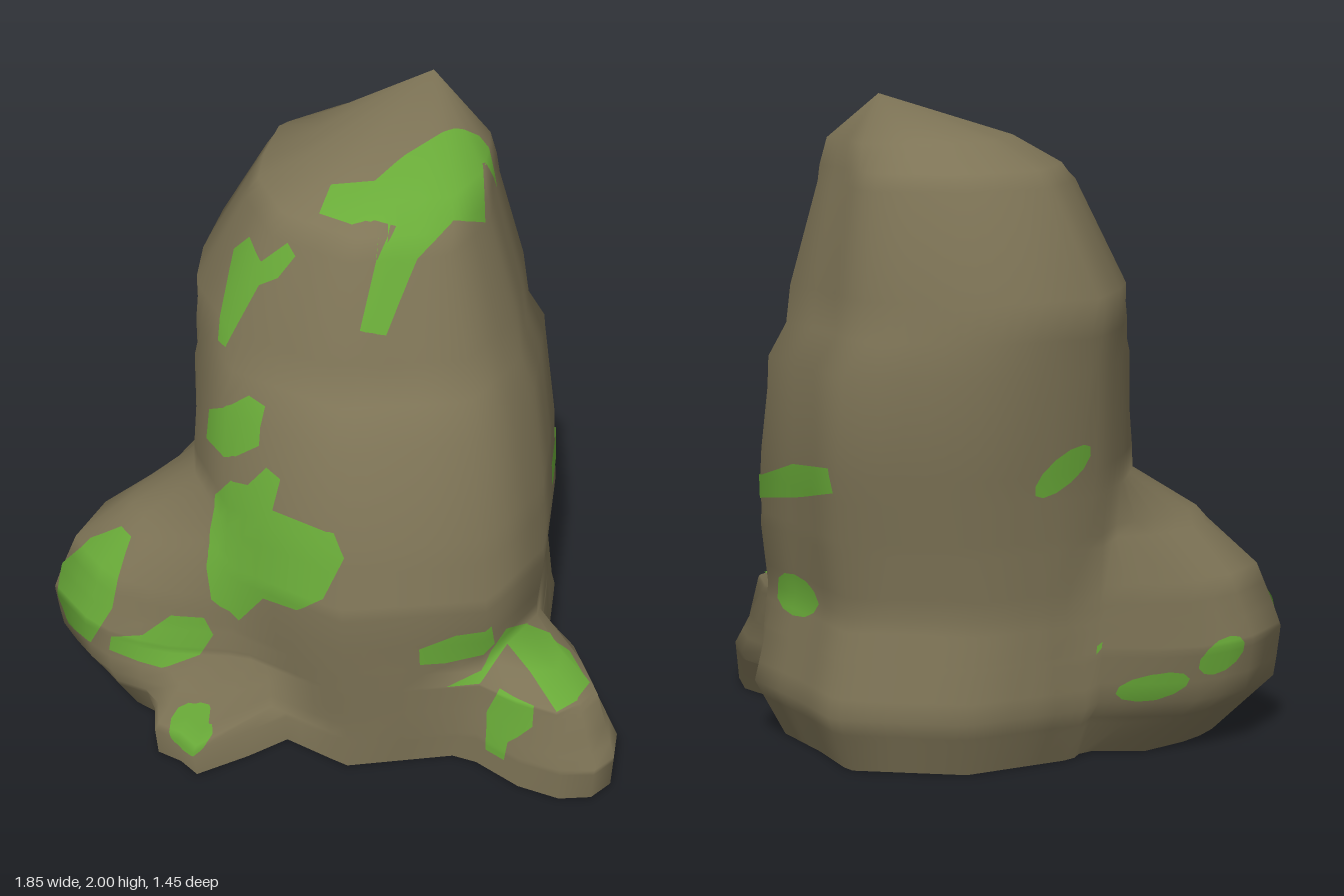
import * as THREE from 'three';

const stone = new THREE.MeshStandardMaterial({ color: 0x7f7557, side: THREE.DoubleSide });
stone.name = 'stone';
const moss = new THREE.MeshStandardMaterial({ color: 0x6aac39, side: THREE.DoubleSide });
moss.name = 'moss';

// Each lobe: a unit outline from above [x, z], stretched to rings [y, xMin, xMax, zMin, zMax]
const boulder = {
  plan: [[0.2, 1], [0.87, 0.66], [1, 0.17], [0.83, -0.5], [0.42, -0.75], [0.08, -1],
    [-0.58, -0.8], [-1, -0.28], [-0.95, 0.15], [-0.85, 0.5], [-0.47, 0.88]],
  rings: [[0, -0.5, 0.52, -0.61, 0.5], [0.17, -0.56, 0.6, -0.68, 0.51], [0.47, -0.58, 0.58, -0.62, 0.55],
    [0.66, -0.59, 0.6, -0.65, 0.57], [0.9, -0.59, 0.57, -0.69, 0.53], [1.2, -0.6, 0.51, -0.73, 0.46],
    [1.3, -0.61, 0.46, -0.66, 0.37], [1.42, -0.62, 0.43, -0.68, 0.33], [1.73, -0.45, 0.33, -0.61, 0.24],
    [1.78, -0.42, 0.315, -0.59, 0.18], [1.86, -0.27, 0.285, -0.54, 0.1], [2, 0.03, 0.03, -0.44, -0.44]],
};
const sideLump = {
  plan: [[0.13, 1], [1, 0.75], [1, -0.8], [0.2, -1], [-0.65, -0.64], [-0.95, -0.06], [-1, 0.58], [-0.43, 0.97]],
  rings: [[0, -0.76, -0.2, -0.15, 0.5], [0.17, -0.92, -0.2, -0.18, 0.54], [0.33, -0.94, -0.2, -0.18, 0.54],
    [0.53, -0.87, -0.2, -0.16, 0.5], [0.7, -0.69, -0.2, -0.08, 0.42], [0.82, -0.55, -0.55, 0.1, 0.1]],
};
const sideStone = {
  plan: [[-0.3, 0.95], [0.68, 1], [1, 0.2], [0.2, -1], [-0.45, -1], [-1, -0.5], [-1, 0.6]],
  rings: [[0, 0.44, 0.93, -0.015, 0.4], [0.12, 0.44, 0.94, -0.02, 0.4], [0.34, 0.46, 0.84, 0.04, 0.38],
    [0.4, 0.52, 0.73, 0.1, 0.3], [0.425, 0.67, 0.67, 0.2, 0.2]],
};
const frontStone = {
  plan: [[0.24, 1], [0.9, 0], [1, -1], [-1, -1], [-1, 0.05], [-0.78, 0.65], [-0.14, 0.75]],
  rings: [[0, -0.52, -0.15, 0.35, 0.72], [0.1, -0.52, -0.16, 0.35, 0.73], [0.23, -0.47, -0.2, 0.35, 0.62],
    [0.31, -0.35, -0.35, 0.45, 0.45]],
};
const lobes = [boulder, sideLump, sideStone, frontStone];

const cross = (a, b, p) => (b[0] - a[0]) * (p[1] - a[1]) - (b[1] - a[1]) * (p[0] - a[0]);
const CENTRE_Z = -0.15;

// Outline of a lobe at height y, measured from the rock's axis
function section({ plan, rings }, y) {
  const k = rings.findIndex((r, i) => i > 0 && r[0] >= y);
  if (k < 0) return [];
  const lo = rings[k - 1], hi = rings[k], t = (y - lo[0]) / (hi[0] - lo[0]);
  const [, x0, x1, z0, z1] = lo.map((v, i) => v + (hi[i] - v) * t);
  return plan.map(([px, pz]) => [(x0 + x1) / 2 + px * (x1 - x0) / 2,
    (z0 + z1) / 2 + pz * (z1 - z0) / 2 - CENTRE_Z]);
}

// Farthest point of an outline along a direction from the axis
function reach(outline, dir) {
  let far = 0;
  outline.forEach((p, i) => {
    const q = outline[(i + 1) % outline.length];
    const a = cross([0, 0], dir, p), b = cross([0, 0], dir, q);
    if (a * b > 0 || a === b) return;
    const t = a / (a - b);
    far = Math.max(far, (p[0] + (q[0] - p[0]) * t) * dir[0] + (p[1] + (q[1] - p[1]) * t) * dir[1]);
  });
  return far;
}

// One open-bottomed skin around all lobes, with a ring at every height where a lobe bends
function makeRock() {
  const N = 72, pos = [], index = [];
  const heights = lobes.flatMap(lobe => lobe.rings.map(r => r[0]));
  const levels = [...new Set(heights)].sort((a, b) => a - b).slice(0, -1);
  for (const y of levels) {
    const outlines = lobes.map(lobe => section(lobe, y));
    for (let i = 0; i < N; i++) {
      const dir = [Math.sin(i / N * Math.PI * 2), Math.cos(i / N * Math.PI * 2)];
      const r = Math.max(...outlines.map(o => reach(o, dir)));
      pos.push(dir[0] * r, y, dir[1] * r + CENTRE_Z);
    }
  }
  pos.push(0.03, 2, -0.44);
  for (let r = 0; r < levels.length; r++) {
    for (let i = 0; i < N; i++) {
      const a = r * N + i, b = r * N + (i + 1) % N;
      if (r === levels.length - 1) index.push(a, b, levels.length * N);
      else index.push(a, b, b + N, a, b + N, a + N);
    }
  }
  const geo = new THREE.BufferGeometry();
  geo.setAttribute('position', new THREE.Float32BufferAttribute(pos, 3));
  geo.setIndex(index);
  geo.computeVertexNormals();
  // Soften the shading around each ring
  const normal = geo.attributes.normal, sharp = normal.clone(), m = new THREE.Vector3(), s = new THREE.Vector3();
  for (let v = 0; v < levels.length * N; v++) {
    const row = v - v % N;
    m.set(0, 0, 0);
    for (let k = -3; k <= 3; k++) m.add(s.fromBufferAttribute(sharp, row + (v % N + k + N) % N));
    m.normalize();
    normal.setXYZ(v, m.x, m.y, m.z);
  }
  const mesh = new THREE.Mesh(geo, stone);
  mesh.name = 'boulder';
  return mesh;
}

// Cut an outline down to the inside of a counter-clockwise triangle
function clip(outline, tri) {
  let poly = outline;
  for (let e = 0; e < 3; e++) {
    const a = tri[e], b = tri[(e + 1) % 3], out = [];
    poly.forEach((p, i) => {
      const q = poly[(i + 1) % poly.length], dp = cross(a, b, p), dq = cross(a, b, q);
      if (dp >= 0) out.push(p);
      if ((dp >= 0) !== (dq >= 0)) {
        const t = dp / (dp - dq);
        out.push([p[0] + (q[0] - p[0]) * t, p[1] + (q[1] - p[1]) * t]);
      }
    });
    poly = out;
  }
  return poly;
}

// Directions of the two outline axes for each side moss is projected from
const sides = {
  front: [new THREE.Vector3(1, 0, 0), new THREE.Vector3(0, 1, 0)],
  left: [new THREE.Vector3(0, 0, -1), new THREE.Vector3(0, 1, 0)],
  back: [new THREE.Vector3(-Math.SQRT1_2, 0, Math.SQRT1_2), new THREE.Vector3(0, 1, 0)],
  top: [new THREE.Vector3(1, 0, 0), new THREE.Vector3(0, 0, -1)],
};

// Thin moss skin laid on both faces of the rock
function makeMoss(rock, side, outline) {
  const [right, up] = sides[side];
  const { position, normal } = rock.geometry.attributes;
  const idx = rock.geometry.index.array, pos = [], nor = [];
  for (let f = 0; f < idx.length; f += 3) {
    const ids = [idx[f], idx[f + 1], idx[f + 2]];
    const v = ids.map(i => new THREE.Vector3().fromBufferAttribute(position, i));
    const vn = ids.map(i => new THREE.Vector3().fromBufferAttribute(normal, i));
    const tri = v.map(p => [p.dot(right), p.dot(up)]);
    const area = cross(...tri);
    if (area < 1e-6) continue;
    const poly = clip(outline, tri);
    if (poly.length < 3) continue;
    for (const face of THREE.ShapeUtils.triangulateShape(poly.map(p => new THREE.Vector2(...p)), [])) {
      let pts = face.map(i => poly[i]);
      if (!pts.every(Boolean)) continue;
      if (cross(...pts) < 0) pts = pts.reverse();
      for (const lift of [0.004, -0.004]) {
        for (const p of pts) {
          const w = [cross(tri[1], tri[2], p), cross(tri[2], tri[0], p), cross(tri[0], tri[1], p)];
          const q = new THREE.Vector3(), m = new THREE.Vector3();
          w.forEach((k, i) => {
            q.addScaledVector(v[i], k / area);
            m.addScaledVector(vn[i], k / area);
          });
          q.addScaledVector(m.normalize(), lift);
          pos.push(...q.toArray());
          nor.push(...m.toArray());
        }
      }
    }
  }
  const geo = new THREE.BufferGeometry();
  geo.setAttribute('position', new THREE.Float32BufferAttribute(pos, 3));
  geo.setAttribute('normal', new THREE.Float32BufferAttribute(nor, 3));
  const mesh = new THREE.Mesh(geo, moss);
  mesh.name = 'mossPatch';
  return mesh;
}

// Rounded spot of moss, turned by a tilt
const spot = (x, y, rx, ry, tilt) => Array.from({ length: 12 }, (_, i) => {
  const a = i * Math.PI / 6, u = rx * Math.cos(a), v = ry * Math.sin(a);
  return [x + u * Math.cos(tilt) - v * Math.sin(tilt), y + u * Math.sin(tilt) + v * Math.cos(tilt)];
});

export function createModel() {
  const group = new THREE.Group();
  group.name = 'mossyRock';
  const rock = makeRock();
  group.add(rock);
  const grow = (side, outline) => group.add(makeMoss(rock, side, outline));

  // Boulder front
  grow('front', [[-0.4, 1.34], [-0.39, 1.6], [-0.33, 1.67], [-0.26, 1.65], [-0.18, 1.73],
    [-0.15, 1.7], [-0.2, 1.62], [-0.26, 1.58], [-0.36, 1.35]]);
  grow('front', [[-0.42, 1.01], [-0.41, 1.12], [-0.32, 1.21], [-0.25, 1.26], [-0.19, 1.25], [-0.19, 1.14], [-0.3, 1.05]]);
  grow('front', [[-0.37, 0.64], [-0.36, 0.87], [-0.28, 0.99], [-0.22, 1], [-0.16, 1.08], [-0.11, 1.06], [-0.13, 0.95],
    [0.08, 0.95], [0.12, 0.88], [0.06, 0.72], [-0.03, 0.64], [-0.15, 0.63], [-0.25, 0.48], [-0.35, 0.52]]);
  grow('front', [[0.33, 0.45], [0.33, 0.52], [0.43, 0.57], [0.52, 0.58], [0.52, 0.48], [0.4, 0.45]]);
  // Hook over the top
  grow('top', [[-0.11, -0.13], [0, -0.15], [0.12, -0.11], [0.07, -0.27], [0.14, -0.24], [0.25, -0.05], [0.32, 0.09],
    [0.27, 0.2], [0.29, 0.28], [0.22, 0.31], [0.16, 0.26], [0.07, 0.1], [0.02, -0.02], [-0.1, -0.06]]);
  // Lump front
  grow('front', [[-0.92, 0.3], [-0.91, 0.42], [-0.8, 0.56], [-0.69, 0.64], [-0.64, 0.64], [-0.67, 0.42], [-0.76, 0.24], [-0.88, 0.21]]);
  grow('front', [[-0.68, 0.26], [-0.67, 0.32], [-0.56, 0.36], [-0.47, 0.45], [-0.37, 0.45], [-0.34, 0.39], [-0.38, 0.31], [-0.5, 0.24]]);
  // Small stones
  grow('front', [[0.52, 0.08], [0.52, 0.24], [0.56, 0.35], [0.68, 0.34], [0.68, 0.26], [0.6, 0.16], [0.59, 0.08]]);
  grow('front', spot(-0.35, 0.14, 0.075, 0.065, 0.4));
  // Boulder flank
  grow('left', [[0.19, 0.73], [0.2, 0.81], [0.38, 0.82], [0.5, 0.89], [0.65, 0.92], [0.66, 0.85], [0.5, 0.79], [0.35, 0.74]]);
  grow('left', spot(0.435, 0.47, 0.07, 0.065, 0));
  grow('left', [[-0.39, 0.34], [-0.31, 0.46], [-0.24, 0.5], [-0.12, 0.43], [-0.12, 0.36]]);
  // Back of boulder and lump
  grow('back', spot(0.125, 0.91, 0.11, 0.045, 0.65));
  grow('back', spot(0.44, 0.22, 0.11, 0.04, 0.2));
  grow('back', spot(0.66, 0.3, 0.09, 0.05, 0.3));
  return group;
}
